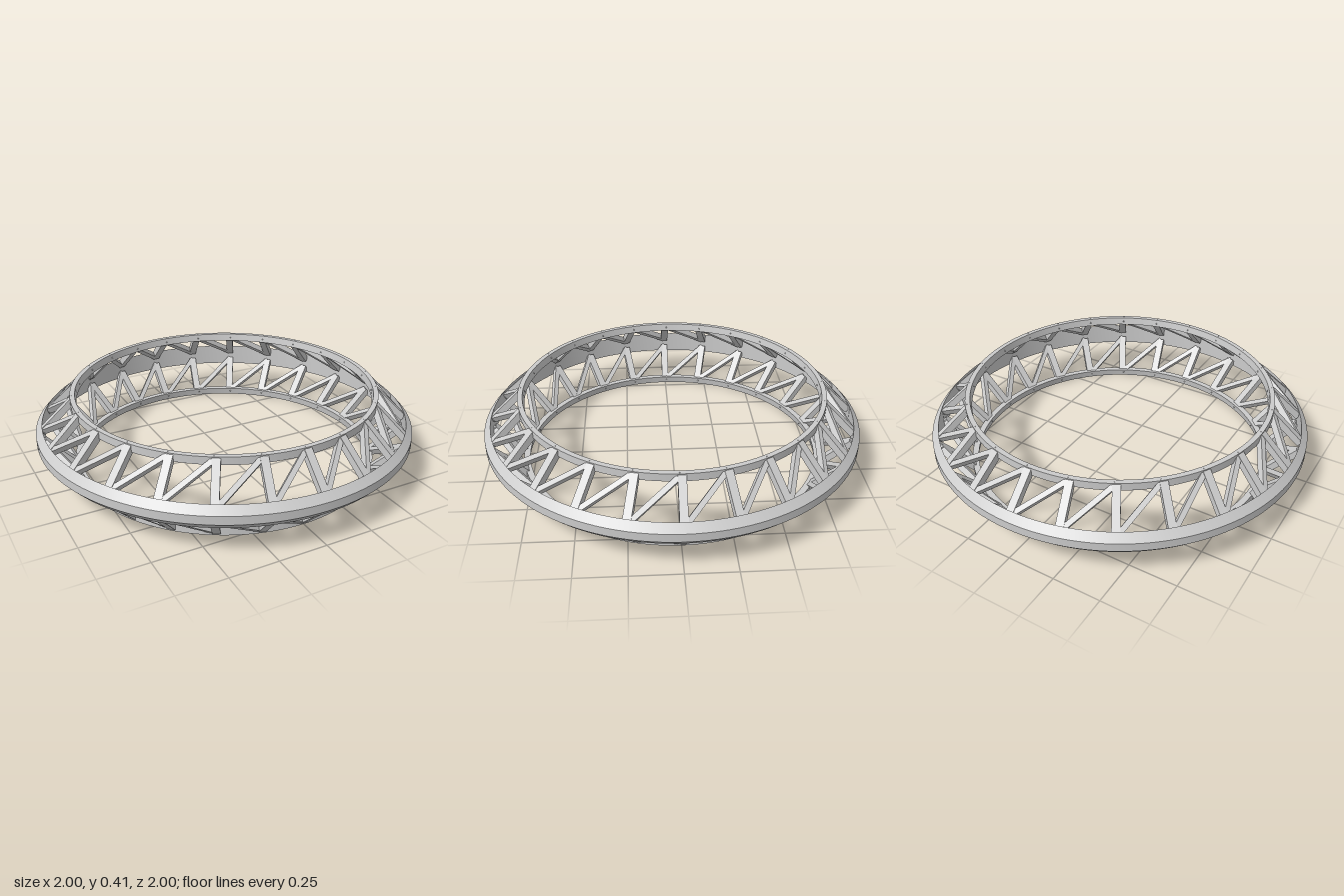
import * as THREE from 'three';
import { toCreasedNormals } from 'three/addons/utils/BufferGeometryUtils.js';

const HEIGHT = 0.41;
const BAYS = 24;
const STEP = (Math.PI * 2) / BAYS;

const material = new THREE.MeshStandardMaterial({ color: 0xcccccc });

// Turns a closed [radius, y] profile (outer side going up) around the y axis
function hoop(name, profile) {
  const points = [...profile, profile[0]].map(([r, y]) => new THREE.Vector2(r, y));
  const geometry = toCreasedNormals(new THREE.LatheGeometry(points, 128), 0.3);
  const mesh = new THREE.Mesh(geometry, material);
  mesh.name = name;
  return mesh;
}

const polar = (r, y, angle) => new THREE.Vector3(r * Math.sin(angle), y, r * Math.cos(angle));

// Rectangular bar from a to b, its depth facing away from the cone between the hoops
function bar(name, a, b, width, depth, angle, lift) {
  const along = b.clone().sub(a);
  const length = along.length();
  along.normalize();
  const outward = polar(1, lift, angle);
  const side = outward.clone().cross(along).normalize();
  const normal = along.clone().cross(side);
  const mesh = new THREE.Mesh(new THREE.BoxGeometry(width, depth, length), material);
  mesh.name = name;
  mesh.quaternion.setFromRotationMatrix(new THREE.Matrix4().makeBasis(side, normal, along));
  mesh.position.copy(a).add(b).multiplyScalar(0.5);
  return mesh;
}

export function createModel() {
  const group = new THREE.Group();
  group.name = 'latticeRing';

  // Wide middle rim with chamfered outer faces
  group.add(hoop('outerRim', [
    [0.965, 0.145], [1, 0.183], [1, 0.227], [0.965, 0.265],
  ]));

  // Narrow hoops at the top and bottom
  const hoopProfile = [[0.812, 0.37], [0.812, 0.41], [0.786, 0.41], [0.779, 0.37]];
  group.add(hoop('topHoop', hoopProfile));
  group.add(hoop('bottomHoop', hoopProfile.map(([r, y]) => [r, HEIGHT - y]).reverse()));

  // Truss bars, mirrored above and below the rim
  for (const upper of [true, false]) {
    const truss = new THREE.Group();
    truss.name = upper ? 'upperTruss' : 'lowerTruss';
    const lift = upper ? 1 : -1;
    const level = (y) => (upper ? y : HEIGHT - y);
    for (let i = 0; i < BAYS; i++) {
      const angle = i * STEP;
      const outer = polar(0.965, level(0.232), angle);
      const inner = polar(0.797, level(0.394), angle);
      const nextInner = polar(0.797, level(0.394), angle + STEP);
      truss.add(bar('strut', outer, inner, 0.04, 0.035, angle, lift));
      truss.add(bar('diagonalBrace', outer, nextInner, 0.026, 0.033, angle + STEP / 2, lift));
    }
    group.add(truss);
  }

  return group;
}
